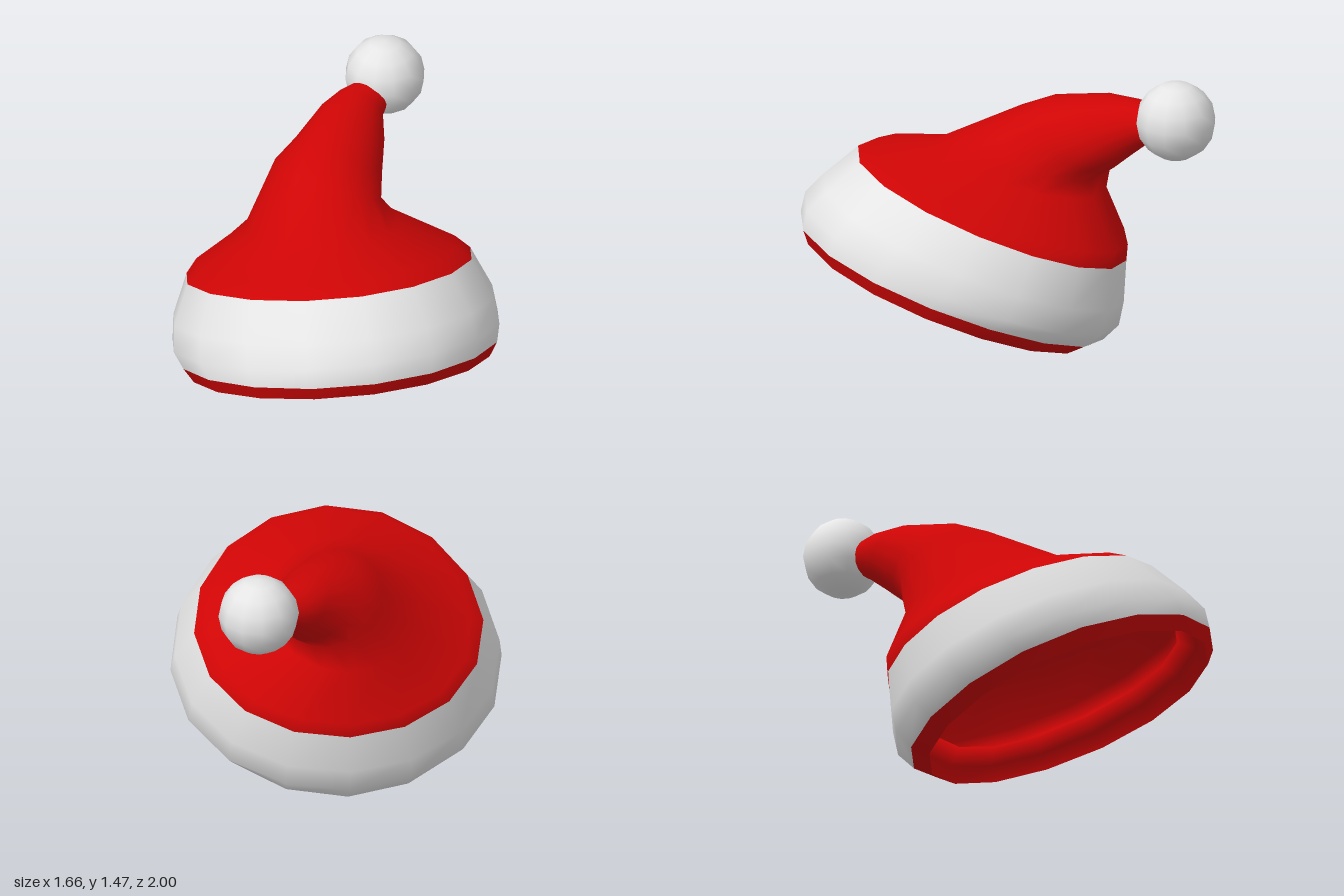
import * as THREE from 'three';

const SEG = 16;
const TILT = Math.PI / 8;
const CO = Math.cos(TILT), SI = Math.sin(TILT);

// A ring is a centre plus two half-axes: F towards the front, S towards +x.
// B bows its two sides away from the flat ellipse.
const ring = (c, F, S, B = [0, 0, 0]) => ({
  c: new THREE.Vector3(...c), F: new THREE.Vector3(...F),
  S: new THREE.Vector3(...S), B: new THREE.Vector3(...B),
});
const scaled = (r, k) => ({
  c: r.c, F: r.F.clone().multiplyScalar(k), S: r.S.clone().multiplyScalar(k), B: r.B,
});

// Ring lying square to the tilted axis of the brim; sides may slide back or lift
const brimRing = (u, f, rf, rx, back = 0, lift = 0) => ring(
  [0, u * CO + f * SI, f * CO - u * SI], [0, rf * SI, rf * CO], [rx, 0, 0],
  [0, lift * CO - back * SI, -back * CO - lift * SI],
);

// Skin through a list of rings, smooth all round
function loft(rings) {
  const pos = [], idx = [];
  rings.forEach((r, i) => {
    for (let j = 0; j < SEG; j++) {
      const t = (j / SEG) * Math.PI * 2, s = Math.sin(t);
      const p = r.c.clone().addScaledVector(r.F, Math.cos(t))
        .addScaledVector(r.S, s).addScaledVector(r.B, s * s);
      pos.push(p.x, p.y, p.z);
      if (i < rings.length - 1) {
        const a = i * SEG + j, b = i * SEG + (j + 1) % SEG;
        idx.push(a, b, b + SEG, a, b + SEG, a + SEG);
      }
    }
  });
  const g = new THREE.BufferGeometry();
  g.setAttribute('position', new THREE.Float32BufferAttribute(pos, 3));
  g.setIndex(idx);
  g.computeVertexNormals();
  return g;
}

export function createModel() {
  const red = new THREE.MeshStandardMaterial({ color: 0xcf0505 });
  red.name = 'redFelt';
  const white = new THREE.MeshStandardMaterial({ color: 0xe5e5e5 });
  white.name = 'whiteFur';

  const hat = new THREE.Group();
  hat.name = 'floppyHat';
  const add = (name, geometry, material) => {
    const m = new THREE.Mesh(geometry, material);
    m.name = name;
    hat.add(m);
    return m;
  };

  // Brim rings, from the opening upwards
  const ledge = brimRing(0.325, 0.365, 0.655, 0.65);
  const inner = brimRing(0.265, 0.365, 0.735, 0.745);
  const bottom = brimRing(0.165, 0.365, 0.76, 0.755, 0, 0.015);
  const edge = brimRing(0.227, 0.354, 0.823, 0.8, 0, 0.025);
  const wide = brimRing(0.33, 0.346, 0.854, 0.83, 0.05);
  const mid = brimRing(0.45, 0.33, 0.815, 0.815, 0.04, 0.01);
  const top = brimRing(0.65, 0.31, 0.729, 0.725, 0.04, 0.01);

  // Crown rings, shrinking and bending back to the left
  const shoulder = ring([0, 0.775, -0.01], [0, 0.255, 0.635], [0.66, 0, 0], [0, -0.02, -0.05]);
  const crown = ring([-0.01, 0.9, -0.11], [0, 0.135, 0.44], [0.38, 0, 0]);
  const bend = ring([0.06, 1.04, -0.28], [-0.02, 0.12, 0.28], [0.25, -0.08, 0.1]);
  const waist = ring([0.14, 1.11, -0.38], [-0.04, 0.135, 0.2], [0.2, -0.08, 0.09]);
  const neck = ring([0.25, 1.185, -0.54], [-0.05, 0.12, 0.11], [0.135, -0.05, 0.11]);
  const tip = ring([0.32, 1.22, -0.65], [-0.03, 0.1, 0.05], [0.09, -0.02, 0.08]);
  const end = ring([0.41, 1.24, -0.73], [-0.02, 0.07, 0.03], [0.07, -0.01, 0.05]);

  add('furBand', loft([edge, wide, mid, top]), white);
  add('crown', loft([top, shoulder, crown, bend, waist, neck, tip, end]), red);

  // Lining from its closed top down to the turned-in ledge and the lip
  add('lining', loft([
    scaled(tip, 0.01), scaled(neck, 0.85), scaled(waist, 0.9), scaled(bend, 0.92),
    scaled(crown, 0.94), scaled(shoulder, 0.97), scaled(top, 0.975),
    scaled(mid, 0.975), brimRing(0.37, 0.345, 0.82, 0.8, 0.05), ledge, inner, bottom,
  ]), red);
  add('lip', loft([bottom, edge]), red);

  // Pompom on the tip
  add('pompom', new THREE.SphereGeometry(0.202, 12, 8), white).position.set(0.474, 1.27, -0.798);

  return hat;
}
